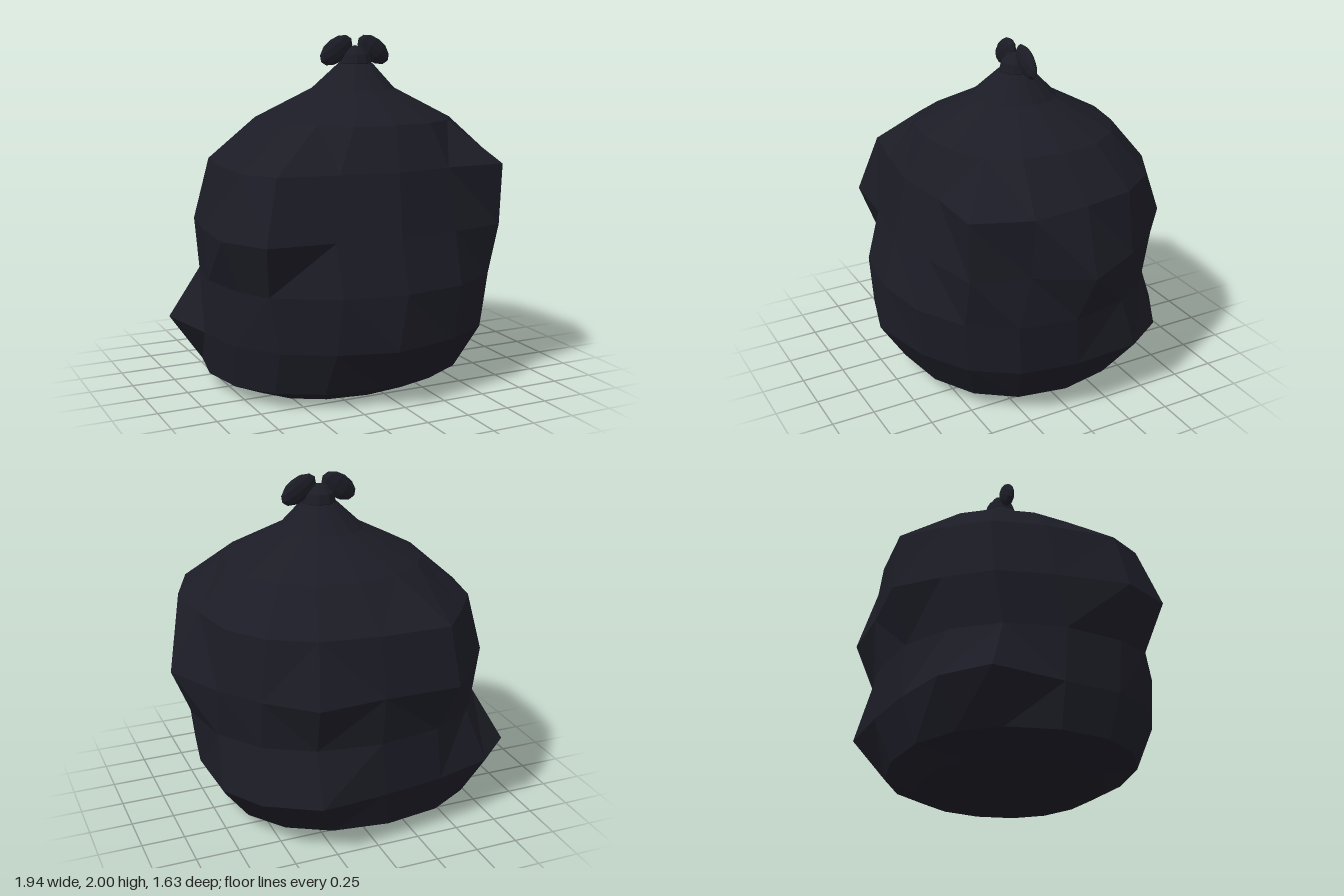
import * as THREE from 'three';

const SEGMENTS = 16; // segment 0 faces +x, 4 the front, 8 -x, 12 the back

// Cross-sections from the base up: height, extent [left x, right x, back z, front z]
const RINGS = [
  { y: 0.00, extent: [-0.66, 0.47, -0.52, 0.48] },
  { y: 0.09, extent: [-0.86, 0.68, -0.69, 0.65] },
  { y: 0.34, extent: [-0.89, 0.82, -0.78, 0.77] },
  { y: 0.65, extent: [-0.87, 0.85, -0.76, 0.80] },
  { y: 0.94, extent: [-0.88, 0.86, -0.80, 0.72] },
  { y: 1.29, extent: [-0.78, 0.80, -0.76, 0.65] },
  { y: 1.53, extent: [-0.51, 0.61, -0.56, 0.53] },
  { y: 1.70, extent: [-0.18, 0.29, -0.25, 0.22] },
  { y: 1.84, extent: [-0.03, 0.17, -0.11, 0.08] },
];

// Corners pushed out by the contents: [segment, x, z]
const LOW_LUMPS = [
  [4, -0.07, 0.81], [9, -0.97, -0.42], [10, -0.74, -0.63],
  [13, 0.36, -0.81], [14, 0.65, -0.64], [15, 0.80, -0.40],
];
const WAIST_LUMPS = [[6, -0.71, 0.54]];
const MIDDLE_LUMPS = [
  [0, 0.97, -0.02], [2, 0.69, 0.59], [6, -0.76, 0.64],
  [7, -0.91, 0.37], [11, -0.45, -0.81], [13, 0.38, -0.82],
];
const SHOULDER_LUMPS = [
  [1, 0.83, 0.28], [2, 0.70, 0.60], [6, -0.66, 0.54],
  [7, -0.78, 0.35], [11, -0.40, -0.77],
];
const LUMPS = { 2: LOW_LUMPS, 3: WAIST_LUMPS, 4: MIDDLE_LUMPS, 5: SHOULDER_LUMPS };

// Slightly squares the circle
const squared = (v) => Math.sign(v) * Math.abs(v) ** 0.9;

function bagGeometry() {
  const points = [];
  RINGS.forEach(({ y, extent: [left, right, back, front] }, j) => {
    for (let k = 0; k < SEGMENTS; k++) {
      const a = (k / SEGMENTS) * Math.PI * 2;
      points.push(new THREE.Vector3(
        (left + right) / 2 + squared(Math.cos(a)) * (right - left) / 2,
        y,
        (back + front) / 2 + squared(Math.sin(a)) * (front - back) / 2,
      ));
    }
    for (const [k, x, z] of LUMPS[j] ?? []) points[j * SEGMENTS + k].set(x, y, z);
  });

  const top = (RINGS.length - 1) * SEGMENTS;
  const baseCentre = points.push(new THREE.Vector3(-0.09, 0, -0.02)) - 1;
  const neckCentre = points.push(new THREE.Vector3(0.07, 1.84, -0.02)) - 1;
  const index = [];
  for (let k = 0; k < SEGMENTS; k++) {
    const n = (k + 1) % SEGMENTS;
    for (let j = 0; j < RINGS.length - 1; j++) {
      const a = j * SEGMENTS + k, b = j * SEGMENTS + n;
      const c = b + SEGMENTS, d = a + SEGMENTS;
      // split each quad along its shorter diagonal
      if (points[a].distanceTo(points[c]) < points[b].distanceTo(points[d])) {
        index.push(a, d, c, a, c, b);
      } else {
        index.push(a, d, b, b, d, c);
      }
    }
    index.push(baseCentre, k, n, neckCentre, top + n, top + k);
  }
  const geometry = new THREE.BufferGeometry().setFromPoints(points);
  geometry.setIndex(index);
  geometry.computeVertexNormals();
  return geometry;
}

export function createModel() {
  const group = new THREE.Group();
  group.name = 'tiedSack';
  const plastic = new THREE.MeshStandardMaterial({ color: 0x1c1c26, flatShading: true });
  plastic.name = 'darkPlastic';

  function add(name, geometry) {
    const mesh = new THREE.Mesh(geometry, plastic);
    mesh.name = name;
    group.add(mesh);
    return mesh;
  }

  add('bagBody', bagGeometry());

  // Knot sitting on the gathered neck
  const knot = add('knot', new THREE.SphereGeometry(1, 10, 6));
  knot.scale.set(0.1, 0.1, 0.095);
  knot.position.set(0.07, 1.845, -0.02);

  // Two flattened ears of the knot
  for (const side of [-1, 1]) {
    const ear = add(side > 0 ? 'leftEar' : 'rightEar', new THREE.SphereGeometry(1, 10, 6));
    ear.scale.set(0.117, 0.07, 0.036);
    ear.rotation.z = -side * 0.6;
    ear.position.set(0.07 + side * 0.12, 1.918, -0.02);
  }
  return group;
}
